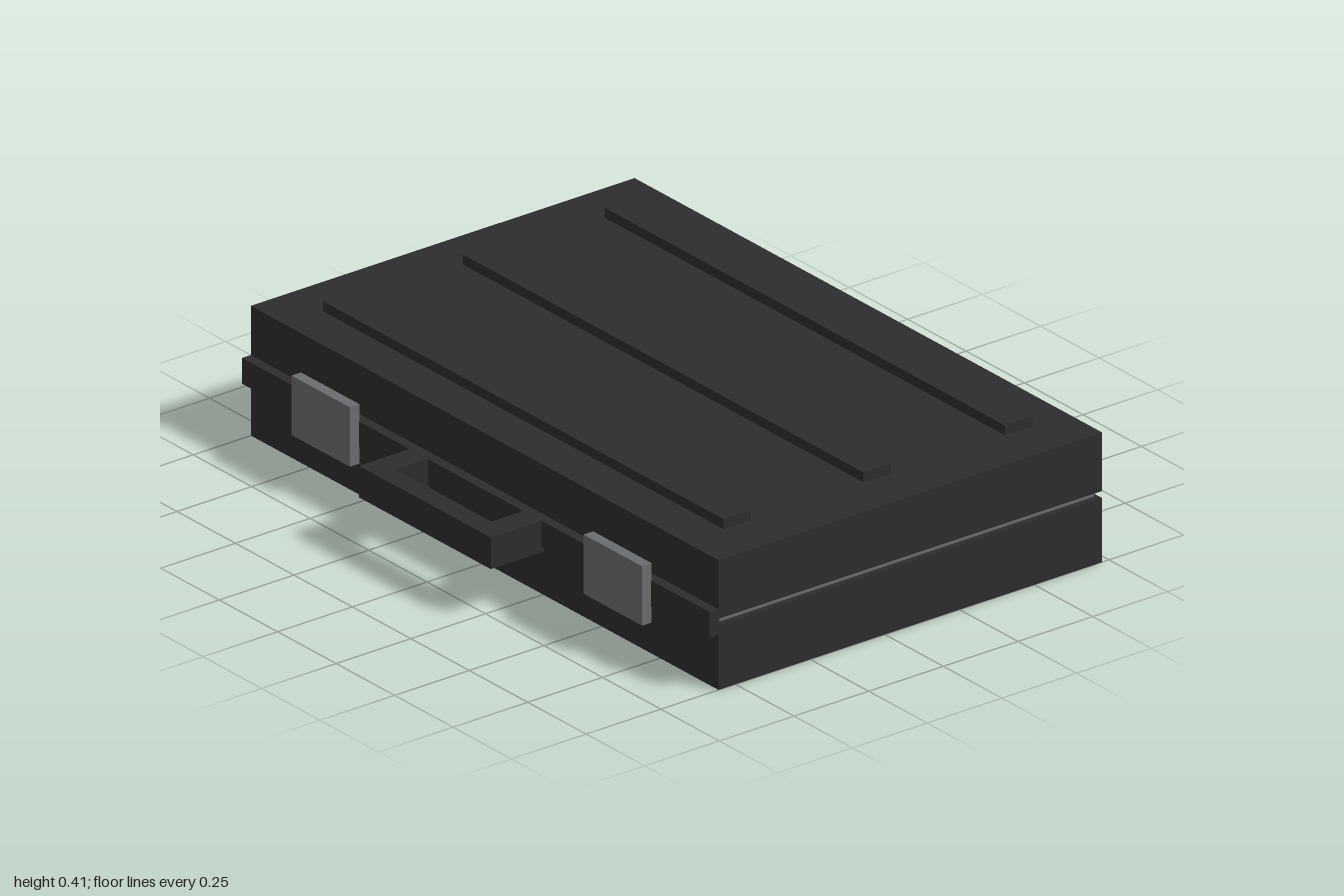
import * as THREE from 'three';

export function createModel() {
  const model = new THREE.Group();
  model.name = 'briefcase';

  const shell = new THREE.MeshStandardMaterial({ color: 0x2d2d2d });
  shell.name = 'black shell';
  const metal = new THREE.MeshStandardMaterial({ color: 0x6a6d70 });
  metal.name = 'grey metal';

  // Box given by its [min, max] range on each axis
  function addBox(name, material, [x0, x1], [y0, y1], [z0, z1]) {
    const mesh = new THREE.Mesh(new THREE.BoxGeometry(x1 - x0, y1 - y0, z1 - z0), material);
    mesh.position.set((x0 + x1) / 2, (y0 + y1) / 2, (z0 + z1) / 2);
    mesh.name = name;
    model.add(mesh);
  }

  // Two halves of the case with a narrow seam between them
  addBox('base', shell, [-1, 1], [0, 0.187], [-0.727, 0.557]);
  addBox('lid', shell, [-1, 1], [0.207, 0.378], [-0.727, 0.557]);
  addBox('seamPlate', metal, [-0.985, 0.985], [0.19, 0.204], [-0.712, 0.542]);

  // Closing strip along the front edge
  addBox('frontStrip', shell, [-1, 1], [0.16, 0.235], [0.555, 0.587]);

  // Raised ribs on the lid
  for (const z of [-0.56, -0.087, 0.382]) {
    addBox('lidRib', shell, [-0.857, 0.857], [0.376, 0.407], [z - 0.046, z + 0.046]);
  }

  // Front latches and rear hinges, mirrored left and right
  for (const [side, s] of [['left', 1], ['right', -1]]) {
    const span = (a, b) => (s > 0 ? [a, b] : [-b, -a]);
    addBox(side + 'Latch', metal, span(0.5, 0.75), [0.112, 0.285], [0.585, 0.617]);
    addBox(side + 'Hinge', metal, span(0.39, 0.7), [0.158, 0.235], [-0.757, -0.725]);
  }

  // U-shaped carrying handle, extruded upward
  const outline = new THREE.Shape(
    [[-0.282, -0.58], [-0.282, -0.757], [0.282, -0.757], [0.282, -0.58],
      [0.205, -0.58], [0.205, -0.695], [-0.205, -0.695], [-0.205, -0.58]]
      .map(([x, y]) => new THREE.Vector2(x, y)));
  const handleGeometry = new THREE.ExtrudeGeometry(outline, { depth: 0.092, bevelEnabled: false });
  handleGeometry.rotateX(-Math.PI / 2);
  const handle = new THREE.Mesh(handleGeometry, shell);
  handle.position.y = 0.144;
  handle.name = 'handle';
  model.add(handle);

  return model;
}
